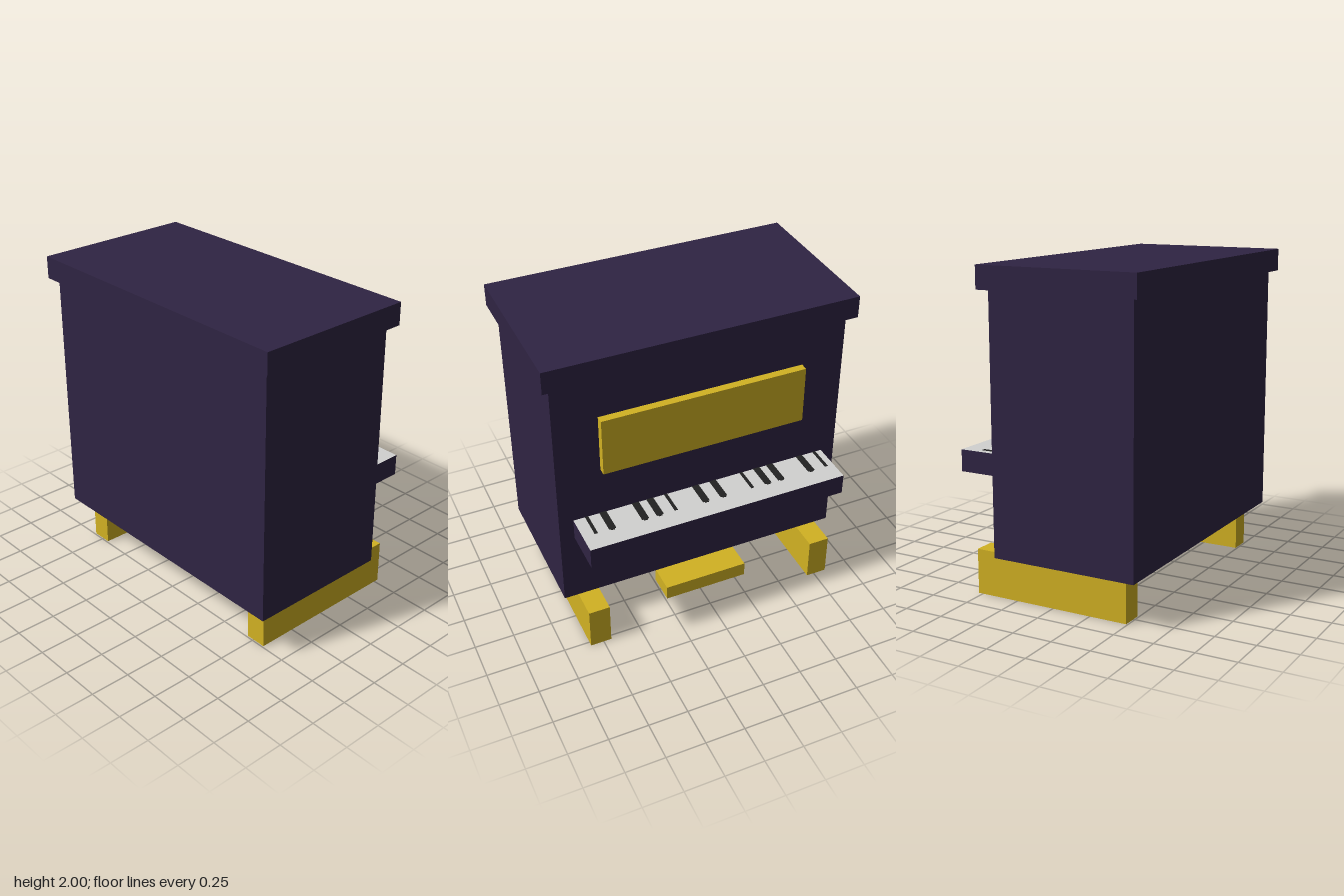
import * as THREE from 'three';

const material = (name, color) => {
  const m = new THREE.MeshStandardMaterial({ color });
  m.name = name;
  return m;
};

export function createModel() {
  const model = new THREE.Group();
  model.name = 'uprightPiano';

  const wood = material('darkPurpleWood', 0x2f2443);
  const gold = material('gold', 0xd2b223);
  const blue = material('blue', 0x3f4fd4);
  const grey = material('darkGrey', 0x50505a);
  const white = material('keyWhite', 0xd2d2d0);
  const black = material('keyBlack', 0x222222);

  // Box from its minimum and maximum on each axis
  const box = (name, mat, [x0, x1], [y0, y1], [z0, z1]) => {
    const mesh = new THREE.Mesh(new THREE.BoxGeometry(x1 - x0, y1 - y0, z1 - z0), mat);
    mesh.position.set((x0 + x1) / 2, (y0 + y1) / 2, (z0 + z1) / 2);
    mesh.name = name;
    model.add(mesh);
    return mesh;
  };

  // Case and overhanging lid
  box('case', wood, [-0.925, 0.925], [0.28, 1.86], [-0.345, 0.585]);
  box('lid', wood, [-0.975, 0.975], [1.86, 2], [-0.395, 0.63]);

  // Music panel
  box('musicPanel', gold, [-0.65, 0.65], [1.21, 1.585], [-0.395, -0.345]);

  // Key shelf with a white upper face
  box('keyShelf', [wood, wood, white, wood, wood, wood],
    [-0.835, 0.835], [0.75, 0.885], [-0.63, -0.345]);

  // Black keys: wide ones with a small raised tip, and thin ones
  const keyY = [0.885, 0.888];
  for (const x of [-0.677, -0.466, -0.375, -0.073, 0.044, 0.346, 0.44, 0.649]) {
    box('blackKey', black, [x - 0.022, x + 0.022], keyY, [-0.507, -0.345]);
    box('blackKeyTip', black, [x - 0.012, x + 0.012], keyY, [-0.516, -0.507]);
  }
  for (const x of [-0.784, -0.268, 0.242, 0.752]) {
    box('thinBlackKey', black, [x - 0.01, x + 0.01], keyY, [-0.507, -0.345]);
  }

  // Long feet
  for (const side of [-1, 1]) {
    const xs = [side * 0.7, side * 0.835].sort((a, b) => a - b);
    box(side > 0 ? 'leftFoot' : 'rightFoot', gold, xs, [0, 0.28], [-0.53, 0.49]);
  }

  // Pedal bar
  box('pedalBar', gold, [-0.275, 0.275], [0.095, 0.19], [-0.435, -0.245]);

  // Centre support: blue above, grey band below, blue underside
  box('supportUpper', blue, [-0.185, 0.185], [0.14, 0.28], [0.03, 0.215]);
  box('supportLower', [grey, grey, grey, blue, grey, grey],
    [-0.185, 0.185], [0, 0.14], [0.03, 0.215]);

  return model;
}
